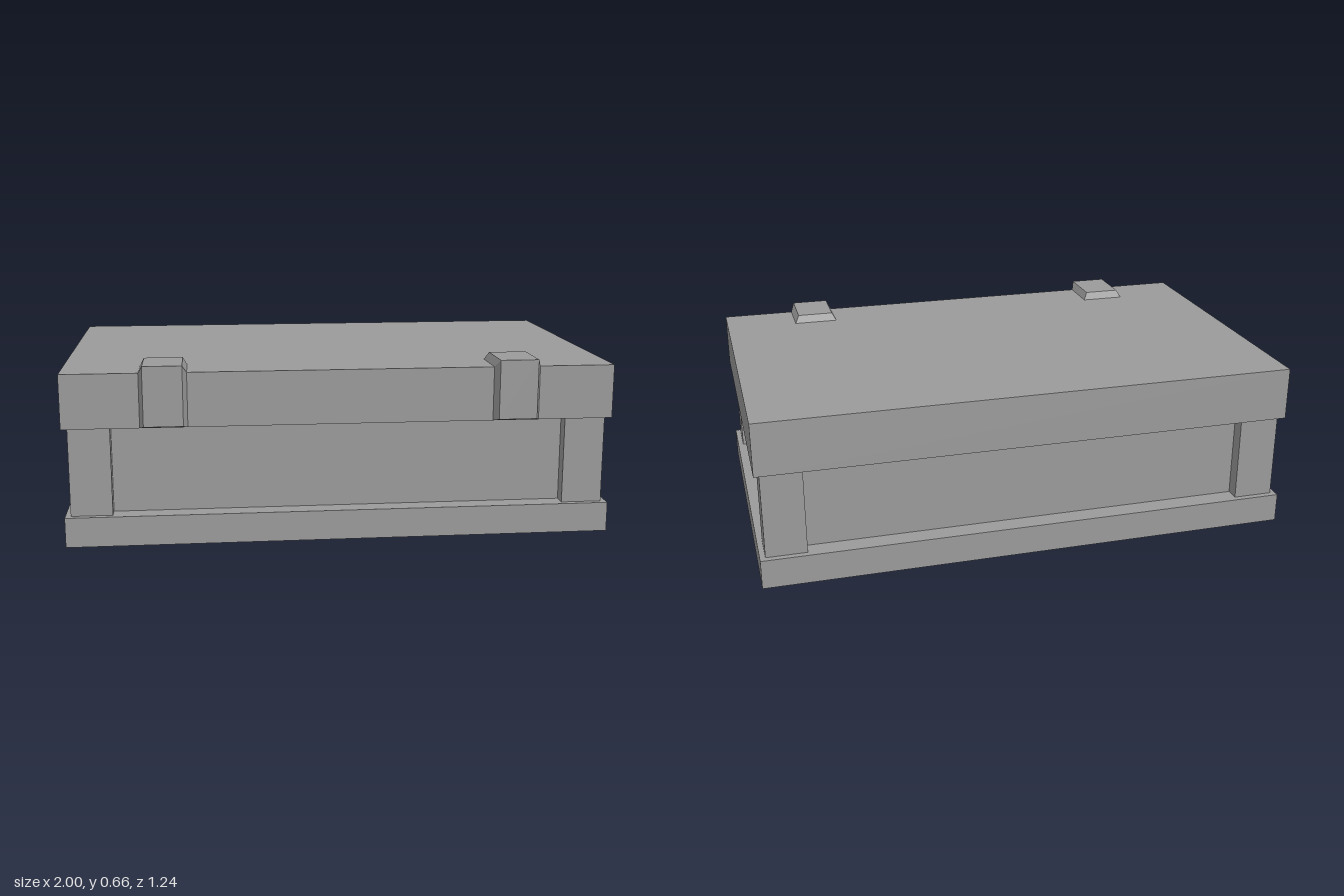
import * as THREE from 'three';

const material = new THREE.MeshStandardMaterial({ color: 0x9b9b9b, flatShading: true });

// Box given by its lower and upper limits on each axis
function box(name, [x0, x1], [y0, y1], [z0, z1]) {
  const mesh = new THREE.Mesh(new THREE.BoxGeometry(x1 - x0, y1 - y0, z1 - z0), material);
  mesh.position.set((x0 + x1) / 2, (y0 + y1) / 2, (z0 + z1) / 2);
  mesh.name = name;
  return mesh;
}

// Bevelled strap bent over the lid's front edge: a trapezoid swept along an L
function claspGeometry() {
  const inner = [[0.435, 0.587], [0.633, 0.587], [0.633, 0.42]]; // [y, z] against the lid
  const outer = [[0.445, 0.62], [0.662, 0.62], [0.662, 0.435]]; // [y, z] of the raised face
  const positions = [];
  const index = [];
  inner.forEach((p, i) => {
    const q = outer[i];
    positions.push(-0.085, ...p, 0.085, ...p, 0.07, ...q, -0.07, ...q);
    if (i === inner.length - 1) return;
    for (let k = 0; k < 4; k++) {
      const a = i * 4 + k;
      const b = i * 4 + (k + 1) % 4;
      index.push(b, a, a + 4, b, a + 4, b + 4);
    }
  });
  const e = (inner.length - 1) * 4;
  index.push(0, 1, 2, 0, 2, 3, e, e + 2, e + 1, e, e + 3, e + 2);

  const geometry = new THREE.BufferGeometry();
  geometry.setAttribute('position', new THREE.Float32BufferAttribute(positions, 3));
  geometry.setIndex(index);
  const flat = geometry.toNonIndexed();
  flat.computeVertexNormals();
  return flat;
}

export function createModel() {
  const group = new THREE.Group();
  group.name = 'chest';

  // Base slab, recessed walls and lid
  group.add(
    box('base', [-1, 1], [0, 0.11], [-0.62, 0.587]),
    box('walls', [-0.93, 0.93], [0.11, 0.435], [-0.545, 0.515]),
    box('lid', [-1, 1], [0.435, 0.633], [-0.62, 0.587]),
  );

  // Corner posts and lid clasps, mirrored left and right
  const clasp = claspGeometry();
  for (const [side, s] of [['left', 1], ['right', -1]]) {
    const x = s > 0 ? [0.83, 0.98] : [-0.98, -0.83];
    group.add(
      box(`${side}FrontPost`, x, [0.11, 0.435], [0.424, 0.565]),
      box(`${side}BackPost`, x, [0.11, 0.435], [-0.597, -0.46]),
    );
    const mesh = new THREE.Mesh(clasp, material);
    mesh.name = `${side}Clasp`;
    mesh.position.x = s * 0.638;
    group.add(mesh);
  }
  return group;
}
